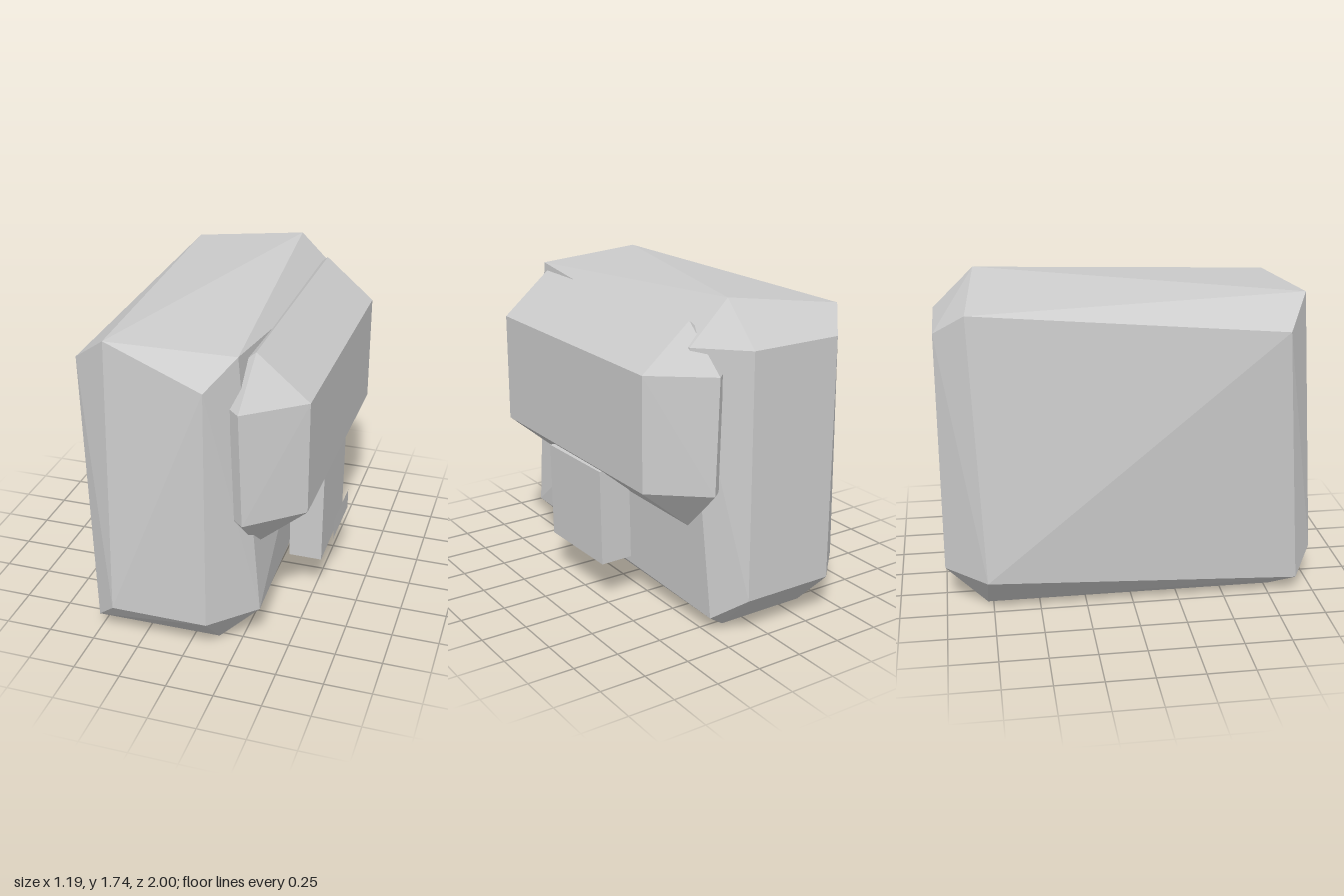
import * as THREE from 'three';
import { ConvexGeometry } from 'three/addons/geometries/ConvexGeometry.js';

export function createModel() {
  const model = new THREE.Group();
  model.name = 'backpack';
  const grey = new THREE.MeshStandardMaterial({ color: 0xcccccc, flatShading: true, side: THREE.DoubleSide });
  grey.name = 'grey fabric';

  const add = (name, geometry) => {
    const mesh = new THREE.Mesh(geometry, grey);
    mesh.name = name;
    model.add(mesh);
    return mesh;
  };
  const hull = (name, points) =>
    add(name, new ConvexGeometry(points.map((p) => new THREE.Vector3(...p))));

  // Main bag: a box with cut corners, four of them simplified to one point
  const body = [
    [-0.6, 1.52, 0.78], [-0.6, 0.22, -0.78],
    [0.35, 0.22, 0.78], [0.35, 1.52, -0.78],
    [0.13, 1.735, -0.78],
    [-0.51, 1.64, -0.84], [-0.4, 1.675, 0.9], [0.25, 1.65, 0.83],
    [-0.5, 0.09, 0.9], [0.25, 0.09, -0.84],
    [0.13, 1.52, 1], [-0.38, 1.52, -1],
  ];
  for (const x of [-0.38, 0.13]) {
    for (const s of [-1, 1]) body.push([x, 0, s * 0.78], [x, 0.22, s]);
  }
  body.push([0.13, 1.52, -1]);
  hull('mainBag', body);

  // Large outer pocket, bevelled on every edge and sunk into the bag
  const pocket = [];
  for (const s of [-1, 1]) {
    pocket.push([0.3, 1.63, s * 0.705], [0.3, 0.57, s * 0.705]);
    pocket.push([0.28, 1.4, s * 0.935], [0.3, 0.8, s * 0.935]);
    for (const y of [0.8, 1.4]) pocket.push([0.57, y, s * 0.705], [0.04, y, s * 0.705]);
  }
  hull('outerPocket', pocket);

  // Small lower pouch, hanging slightly askew
  const pouch = add('lowerPouch', new THREE.BoxGeometry(0.18, 0.525, 0.522));
  pouch.position.set(0.455, 0.5, 0.003);
  pouch.rotation.set(0.01, 0.01, -0.008);

  // Thin label plate in front of the pouch
  const label = add('labelPlate', new THREE.PlaneGeometry(0.35, 0.115));
  label.rotation.y = Math.PI / 2;
  label.position.set(0.59, 0.385, 0);

  return model;
}
